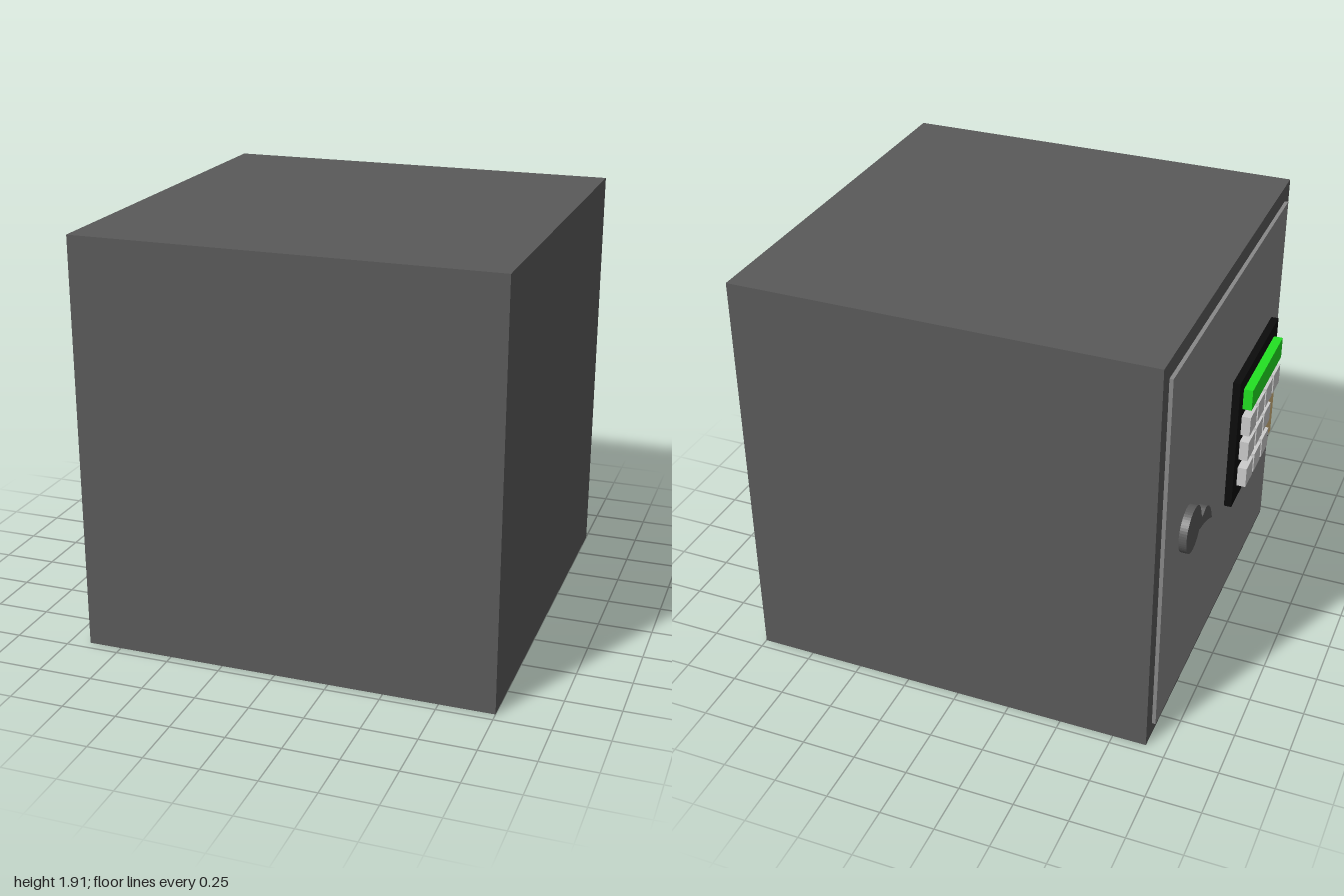
import * as THREE from 'three';

const mat = (color) => new THREE.MeshStandardMaterial({ color });

// Box given by its extents on each axis
function block(name, material, [x0, x1], [y0, y1], [z0, z1]) {
  const mesh = new THREE.Mesh(new THREE.BoxGeometry(x1 - x0, y1 - y0, z1 - z0), material);
  mesh.position.set((x0 + x1) / 2, (y0 + y1) / 2, (z0 + z1) / 2);
  mesh.name = name;
  return mesh;
}

export function createModel() {
  const safe = new THREE.Group();
  safe.name = 'safe';

  // Cabinet, with the door on the -x side
  safe.add(block('cabinet', mat(0x5a5a5a), [-0.905, 1], [0, 1.91], [-0.955, 0.955]));
  safe.add(block('door', mat(0x888888), [-0.922, -0.9], [0.065, 1.83], [-0.88, 0.88]));

  // Keypad: backing plate, display, square keys and a tall enter key
  const keypad = new THREE.Group();
  keypad.name = 'keypad';
  keypad.add(block('keypadPlate', mat(0x0c0c0c), [-0.957, -0.92], [0.62, 1.29], [0.07, 0.735]));
  keypad.add(block('display', mat(0x22e022), [-1, -0.955], [1.12, 1.225], [0.14, 0.67]));
  const keyMat = mat(0xcccccc);
  const size = 0.115, pitch = 0.138;
  [0.98, 0.845, 0.7].forEach((y, row) => {
    const columns = row === 0 ? 4 : 3;
    for (let c = 0; c < columns; c++) {
      const z = 0.14 + c * pitch;
      keypad.add(block('key', keyMat, [-1, -0.955], [y, y + 0.1], [z, z + size]));
    }
  });
  keypad.add(block('enterKey', mat(0xd2b57c), [-0.98, -0.955], [0.7, 0.95], [0.554, 0.67]));
  safe.add(keypad);

  // Handle: round hub running into a drooping lever (shape x = model z)
  const shape = new THREE.Shape();
  const hubZ = -0.573, hubY = 0.925, r = 0.107;
  shape.absarc(hubZ, hubY, r, 0.1, Math.PI * 2 - 0.6, false);
  shape.bezierCurveTo(-0.45, 0.85, -0.4, 0.86, -0.28, 0.795);
  shape.bezierCurveTo(-0.3, 0.87, -0.36, 0.93, -0.4, 0.92);
  shape.lineTo(-0.44, 0.905);
  shape.closePath();
  const geometry = new THREE.ExtrudeGeometry(shape, { depth: 0.037, bevelEnabled: false, curveSegments: 24 });
  geometry.rotateY(-Math.PI / 2);
  const handle = new THREE.Mesh(geometry, mat(0x5a5a5a));
  handle.position.x = -0.92;
  handle.name = 'handle';
  safe.add(handle);

  return safe;
}
